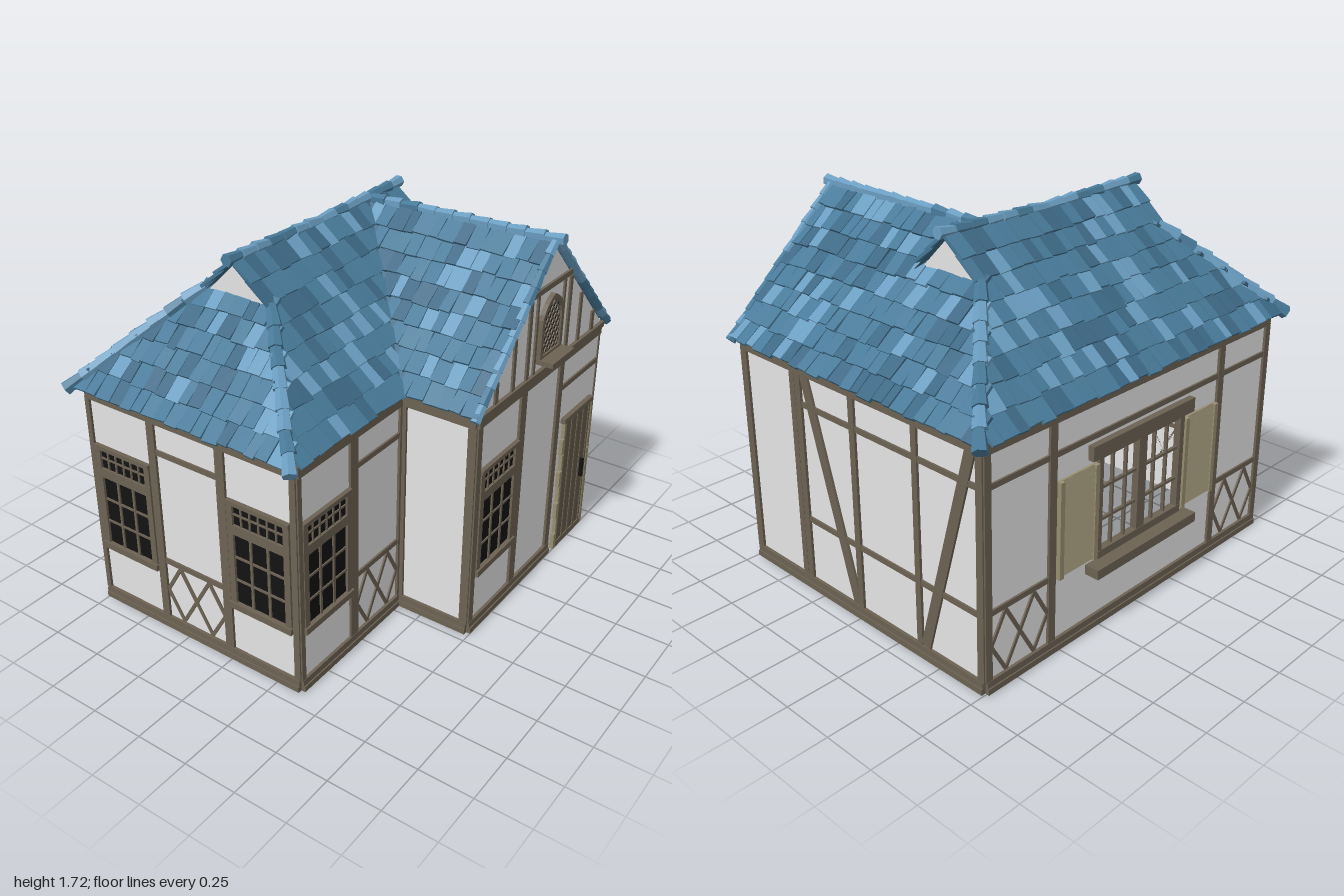
import * as THREE from 'three';
import { mergeGeometries } from 'three/addons/utils/BufferGeometryUtils.js';

const mat = (name, color, side = THREE.FrontSide) => {
  const m = new THREE.MeshStandardMaterial({ color, side });
  m.name = name;
  return m;
};

export function createModel() {
  const plaster = mat('plaster', 0xe4e4e4, THREE.DoubleSide);
  const timber = mat('timber', 0x6c6253);
  const doorWood = mat('doorWood', 0x635a4a);
  const tan = mat('tanWood', 0x968d70);
  const black = mat('black', 0x131313);
  const tile = mat('tile', 0x487a99);
  const tileLight = mat('tileLight', 0x6a9dc0);
  const tileDark = mat('tileDark', 0x3d6885, THREE.DoubleSide);

  const house = new THREE.Group();
  house.name = 'house';
  let seed = 7;
  const rnd = () => (seed = (seed * 16807) % 2147483647) / 2147483647;
  const jit = a => (rnd() - 0.5) * 2 * a;

  const add = (parent, name, geo, material) => {
    const m = new THREE.Mesh(geo, material);
    m.name = name;
    parent.add(m);
    return m;
  };
  // Box on a wall face: x/y extents, z from back to front of the wall plane
  const box = (g, name, x0, x1, y0, y1, m = timber, z1 = 0.012, z0 = 0) => {
    const b = add(g, name, new THREE.BoxGeometry(x1 - x0, y1 - y0, z1 - z0), m);
    b.position.set((x0 + x1) / 2, (y0 + y1) / 2, (z0 + z1) / 2);
    return b;
  };
  // Slanted bar between two points of a wall face
  const bar = (g, name, xa, ya, xb, yb, w, m = timber, d = 0.01) => {
    const b = add(g, name, new THREE.BoxGeometry(Math.hypot(xb - xa, yb - ya), w, d), m);
    b.position.set((xa + xb) / 2, (ya + yb) / 2, d / 2);
    b.rotation.z = Math.atan2(yb - ya, xb - xa);
  };

  // Wall face: local x along the wall, local z outward; posts given as [x0, x1]
  const WALL = 1.12;
  const face = (name, x, z, rot, x0, x1, posts, hole, baseEnd = x1) => {
    const g = new THREE.Group();
    g.name = name;
    g.position.set(x, 0, z);
    g.rotation.y = rot;
    house.add(g);
    const s = new THREE.Shape([[x0, 0], [x1, 0], [x1, WALL], [x0, WALL]].map(p => new THREE.Vector2(...p)));
    if (hole) s.holes.push(new THREE.Path(hole.map(p => new THREE.Vector2(...p))));
    add(g, 'plasterWall', new THREE.ShapeGeometry(s), plaster);
    box(g, 'topBeam', x0, x1, 1.05, 1.085, timber, 0.014);
    box(g, 'eaveBeam', x0 - 0.008, x1 + 0.008, 1.085, 1.11, timber, 0.02);
    box(g, 'baseBeam', x0, baseEnd, 0.035, 0.065, timber, 0.014);
    box(g, 'plinth', x0, baseEnd, 0.008, 0.035, timber, 0.02);
    for (const [a, b] of posts) box(g, 'post', a, b, 0.06, 1.055);
    return g;
  };

  const rail = (g, x0, x1, y) => box(g, 'rail', x0, x1, y, y + 0.025, timber, 0.009);

  // Paned window with a transom of small lights
  const paneWindow = (g, x) => {
    const w = new THREE.Group();
    w.name = 'window';
    w.position.x = x;
    g.add(w);
    const piece = (n, a, b, c, d, z = 0.016) => box(w, n, a, b, c, d, timber, z, -0.014);
    box(w, 'glass', -0.145, 0.145, 0.32, 0.82, black, 0.004, -0.005);
    for (const s of [-1, 1]) piece('frameSide', s * 0.145 - 0.015, s * 0.145 + 0.015, 0.32, 0.83);
    piece('sill', -0.165, 0.165, 0.3, 0.33, 0.026);
    piece('frameTop', -0.16, 0.16, 0.815, 0.835, 0.02);
    piece('transomRail', -0.145, 0.145, 0.675, 0.72);
    for (const s of [-1, 1]) piece('mullion', s * 0.045 - 0.006, s * 0.045 + 0.006, 0.33, 0.68, 0.011);
    for (const y of [0.445, 0.56]) piece('glazingBar', -0.13, 0.13, y - 0.005, y + 0.005, 0.01);
    for (let i = -2; i <= 2; i++) piece('transomBar', i * 0.045 - 0.004, i * 0.045 + 0.004, 0.72, 0.82, 0.01);
    piece('transomBar', -0.13, 0.13, 0.766, 0.774, 0.01);
  };

  // Panel of crossing diamonds under a rail
  const lattice = (g, x0, x1) => {
    rail(g, x0, x1, 0.355);
    const q = (x1 - x0) / 4;
    for (let i = 0; i < 4; i++)
      for (const s of [-1, 1]) {
        const e = i % 2 ? 0.14 : 0, f = 0.14 - e;
        bar(g, 'latticeBar', x0 + q * i, 0.212 + s * e, x0 + q * (i + 1), 0.212 + s * f, 0.016, timber, s > 0 ? 0.008 : 0.007);
      }
  };

  // Main front wall
  const front = face('mainFrontWall', 0, 0.37, 0, -0.92, -0.2, [[-0.925, -0.9], [-0.58, -0.53], [-0.225, -0.2]]);
  paneWindow(front, -0.74);
  lattice(front, -0.53, -0.225);
  rail(front, -0.53, -0.225, 0.9);

  // Wing front wall with door
  const wing = face('wingFrontWall', 0, 0.735, 0, -0.2, 0.92, [[-0.205, -0.17], [0.155, 0.205], [0.51, 0.55]], null, 0.55);
  paneWindow(wing, -0.005);
  rail(wing, 0.55, 0.92, 0.9);
  box(wing, 'door', 0.62, 0.88, 0, 0.715, doorWood, 0.012);
  for (let i = 0; i < 5; i++) box(wing, 'doorBatten', 0.622 + i * 0.06, 0.637 + i * 0.06, 0.03, 0.7, timber, 0.016);
  box(wing, 'doorRail', 0.62, 0.88, 0, 0.03, timber, 0.018);
  box(wing, 'doorLintel', 0.59, 0.885, 0.71, 0.735, timber, 0.024);
  box(wing, 'doorHandle', 0.822, 0.835, 0.31, 0.41, black, 0.03, 0.012);
  for (let i = 0; i < 8; i++) {
    const w = i % 2 ? 0.012 : 0.022;
    box(wing, 'jambBlock', 0.618 - w, 0.622, i * 0.089, i * 0.089 + 0.085, tan, 0.018);
    box(wing, 'jambBlock', 0.878, 0.882 + w, i * 0.089, i * 0.089 + 0.085, tan, 0.018);
  }
  face('wingSideWall', -0.2, 0, -Math.PI / 2, 0.37, 0.735, [[0.37, 0.4], [0.7, 0.74]]);

  // Braced side wall
  const braced = face('bracedSideWall', 0.92, 0, Math.PI / 2, -0.735, 0.75,
    [[-0.74, -0.7], [-0.39, -0.357], [-0.355, -0.32], [-0.005, 0.028], [0.37, 0.4], [0.72, 0.755]]);
  for (const y of [0.35, 0.9]) rail(braced, -0.32, 0.72, y);
  bar(braced, 'brace', -0.295, 1.05, -0.01, 0.07, 0.05, timber, 0.011);
  bar(braced, 'brace', 0.69, 1.05, 0.42, 0.07, 0.05, timber, 0.011);

  // Side wall with two windows
  const side = face('windowSideWall', -0.92, 0, -Math.PI / 2, -0.75, 0.37,
    [[-0.755, -0.73], [-0.4, -0.36], [-0.03, 0.015], [0.345, 0.375]]);
  paneWindow(side, -0.565);
  paneWindow(side, 0.18);
  lattice(side, -0.36, -0.03);
  rail(side, -0.36, -0.03, 0.9);

  // Back wall with open window, shutters, sill and lintel
  const back = face('backWall', 0, -0.75, Math.PI, -0.92, 0.92,
    [[-0.925, -0.89], [-0.57, -0.53], [0.53, 0.57], [0.89, 0.925]],
    [[-0.27, 0.36], [-0.27, 0.82], [0.27, 0.82], [0.27, 0.36]]);
  lattice(back, -0.89, -0.57);
  lattice(back, 0.57, 0.89);
  for (const [a, b] of [[-0.89, -0.57], [-0.53, 0.53], [0.57, 0.89]]) rail(back, a, b, 0.9);
  box(back, 'backSill', -0.335, 0.335, 0.285, 0.33, timber, 0.07);
  box(back, 'backLintel', -0.335, 0.335, 0.815, 0.88, timber, 0.03);
  box(back, 'frameBottom', -0.28, 0.28, 0.34, 0.375, timber, 0.02, -0.015);
  for (const x of [-0.27, -0.012, 0.012, 0.27]) box(back, 'casementStile', x - 0.014, x + 0.014, 0.36, 0.82, timber, 0.018, -0.015);
  for (const x of [-0.18, -0.095, 0.095, 0.18]) box(back, 'mullion', x - 0.005, x + 0.005, 0.36, 0.82, timber, 0.008, -0.008);
  for (const y of [0.51, 0.66, 0.8]) box(back, 'glazingBar', -0.27, 0.27, y - 0.006, y + 0.006, timber, 0.007, -0.007);
  for (const s of [-1, 1]) {
    box(back, 'shutter', s * 0.405 - 0.115, s * 0.405 + 0.115, 0.35, 0.79, tan, 0.012);
    for (const e of [-0.105, 0.105]) box(back, 'shutterStile', s * 0.405 + e - 0.012, s * 0.405 + e + 0.012, 0.35, 0.79, tan, 0.026);
    for (let i = 0; i < 14; i++) {
      const l = box(back, 'louvre', s * 0.405 - 0.1, s * 0.405 + 0.1, 0.36 + i * 0.031, 0.385 + i * 0.031, tan, 0.02, 0.014);
      l.rotation.x = -0.35;
    }
  }

  // Wing gable with studs
  const gable = new THREE.Group();
  gable.name = 'wingGable';
  gable.position.set(0.37, 0, 0.737);
  house.add(gable);
  const tri = (w, y0, y1) => new THREE.ShapeGeometry(new THREE.Shape([[-w, y0], [w, y0], [0, y1]].map(p => new THREE.Vector2(...p))));
  add(gable, 'gablePlaster', tri(0.56, 1.1, 1.655), plaster);
  for (const [o, w] of [[0.12, 0.008], [0.18, 0.012], [0.3, 0.011], [0.44, 0.013]])
    for (const s of [-1, 1]) box(gable, 'gableStud', s * o - w, s * o + w, 1.1, Math.min(1.485, 1.645 - o), timber, 0.009);
  box(gable, 'collarBeam', -0.175, 0.175, 1.475, 1.5);

  // Pointed window with diagonal leading
  const arch = w => {
    const s = new THREE.Shape();
    const top = 1.34 + w * 1.12;
    s.moveTo(-w, 1.26 - w);
    s.lineTo(w, 1.26 - w);
    s.lineTo(w, 1.33);
    s.quadraticCurveTo(w, 1.33 + w * 0.75, 0, top);
    s.quadraticCurveTo(-w, 1.33 + w * 0.75, -w, 1.33);
    return s;
  };
  const archFrame = arch(0.098);
  archFrame.holes.push(arch(0.077));
  add(gable, 'archFrame', new THREE.ExtrudeGeometry(archFrame, { depth: 0.022, bevelEnabled: false, curveSegments: 6 }), timber);
  add(gable, 'archGlass', new THREE.ShapeGeometry(arch(0.08)), black).position.z = 0.011;
  const inside = (x, y) => y > 1.18 && y < 1.42 && Math.abs(x) < (y < 1.33 ? 0.077 : 0.077 * Math.sqrt((1.425 - y) / 0.095));
  for (const s of [-1, 1])
    for (let k = -4; k <= 4; k++) {
      const pts = [];
      for (let x = -0.08; x <= 0.08; x += 0.004) if (inside(x, 1.3 + k * 0.045 + s * x * 1.3)) pts.push(x);
      if (pts.length < 3) continue;
      const a = pts[0], b = pts[pts.length - 1], y = x => 1.3 + k * 0.045 + s * x * 1.3;
      bar(gable, 'leading', a, y(a), b, y(b), 0.007, timber, 0.016);
    }
  box(gable, 'archSill', -0.1, 0.1, 1.15, 1.172, timber, 0.085);

  // Small gables at the ridge ends
  for (const s of [-1, 1]) {
    const t = add(house, 'ridgeGable', tri(0.175, 1.49, 1.665), plaster);
    t.position.set(s * 0.555, 0, -0.2);
    t.rotation.y = s * Math.PI / 2;
  }

  // Roof slope: d is distance out from the ridge, lo/hi are limits along it
  const H = d => 1.67 - d * 0.97, PITCH = Math.atan(0.97), ROW = 0.0725, EAVE = 0.595;
  const slope = (name, ox, oz, rot, d0, d1, lo, hi) => {
    const g = new THREE.Group();
    g.name = name;
    g.position.set(ox, 0, oz);
    g.rotation.y = rot;
    house.add(g);
    // Boarding under the tiles
    const ds = [d0, Math.min(d1, Math.max(d0, 0.19)), Math.min(d1, 0.58)], pos = [];
    for (let i = 0; i < 2; i++) {
      const [a, b] = [ds[i], ds[i + 1]];
      if (b - a < 0.001) continue;
      const P = (s, d) => [s, H(d), d];
      const A = P(lo(a), a), B = P(hi(a), a), C = P(lo(b), b), D = P(hi(b), b);
      pos.push(...A, ...C, ...B, ...B, ...C, ...D);
    }
    const deck = new THREE.BufferGeometry();
    deck.setAttribute('position', new THREE.Float32BufferAttribute(pos, 3));
    deck.computeVertexNormals();
    add(g, 'roofBoards', deck, tileDark);
    // Overlapping rows of uneven tiles
    const sets = [[], [], []], mtx = new THREE.Matrix4(), q = new THREE.Quaternion(), one = new THREE.Vector3(1, 1, 1);
    for (let d = EAVE - ROW / 2; d > d0; d -= ROW) {
      if (d > d1) continue;
      const a = lo(d), n = Math.max(1, Math.round((hi(d) - a) / 0.064)), w = (hi(d) - a) / n;
      if (w < 0.02) continue;
      let x = a;
      for (let i = 1; i <= n; i++) {
        const next = a + i * w + (i < n ? jit(0.2 * w) : 0);
        const t = new THREE.BoxGeometry(next - x - 0.002, 0.014, 0.125 + jit(0.012));
        q.setFromEuler(new THREE.Euler(PITCH - 0.1 + jit(0.03), jit(0.06), jit(0.06)));
        t.applyMatrix4(mtx.compose(new THREE.Vector3((x + next) / 2, H(d) + 0.022 + jit(0.004), d), q, one));
        const r = rnd();
        sets[r < 0.62 ? 0 : r < 0.78 ? 1 : 2].push(t);
        x = next;
      }
    }
    sets.forEach((s, i) => s.length && add(g, 'roofTiles', mergeGeometries(s), [tile, tileLight, tileDark][i]));
  };
  const lim = d => (d < 0.19 ? 0.585 : 0.37 + d);
  slope('mainBackSlope', 0, -0.2, Math.PI, 0, 0.6, d => -lim(d), lim);
  slope('mainFrontSlope', 0, -0.2, 0, 0, 0.6, d => -lim(d), d => 0.37 - d);
  slope('mainFrontCorner', 0, -0.2, 0, 0, 0.19, d => 0.37 + d, () => 0.585);
  slope('hipSlope', -0.37, -0.2, -Math.PI / 2, 0.19, 0.6, d => -d, d => d);
  slope('wingLeftSlope', 0.37, 0, -Math.PI / 2, 0, 0.6, d => -0.2 + d, () => 0.75);
  slope('wingRightUpperSlope', 0.37, 0, Math.PI / 2, 0, 0.19, () => -0.75, d => 0.2 - d);
  slope('wingRightSlope', 0.37, 0, Math.PI / 2, 0.19, 0.6, () => -0.75, d => 0.2 + d);

  // Rows of tapered cap tiles, wide end first
  const caps = (name, a, b, n, r = 0.028) => {
    const A = new THREE.Vector3(...a), B = new THREE.Vector3(...b), dir = B.clone().sub(A), L = dir.length() / n;
    dir.normalize();
    const sets = [[], []];
    for (let i = 0; i < n; i++) {
      const c = new THREE.CylinderGeometry(r * 0.72, r, L * 1.15, 6).toNonIndexed();
      c.computeVertexNormals();
      const q = new THREE.Quaternion().setFromUnitVectors(new THREE.Vector3(0, 1, 0), dir.clone().add(new THREE.Vector3(jit(0.06), jit(0.06), jit(0.06))).normalize());
      c.applyQuaternion(q);
      const p = A.clone().lerp(B, (i + 0.5) / n);
      c.translate(p.x, p.y, p.z);
      sets[rnd() < 0.6 ? 0 : 1].push(c);
    }
    sets.forEach((s, i) => s.length && add(house, name, mergeGeometries(s), [tileLight, tile][i]));
  };
  caps('mainRidgeCaps', [-0.605, 1.69, -0.2], [0, 1.678, -0.2], 7);
  caps('mainRidgeCaps', [0.605, 1.69, -0.2], [0, 1.678, -0.2], 7);
  caps('wingRidgeCaps', [0.37, 1.688, 0.775], [0.37, 1.68, -0.2], 11);
  for (const [s, f] of [[-1, -1], [1, -1], [-1, 1]])
    caps('hipCaps', [s * 0.98, 1.105, -0.2 + f * 0.595], [s * 0.555, 1.52, -0.2 + f * 0.18], 8, 0.033);
  for (const s of [-1, 1]) caps('vergeCaps', [0.37 + s * 0.6, 1.1, 0.742], [0.37, 1.69, 0.742], 11, 0.024);
  return house;
}
